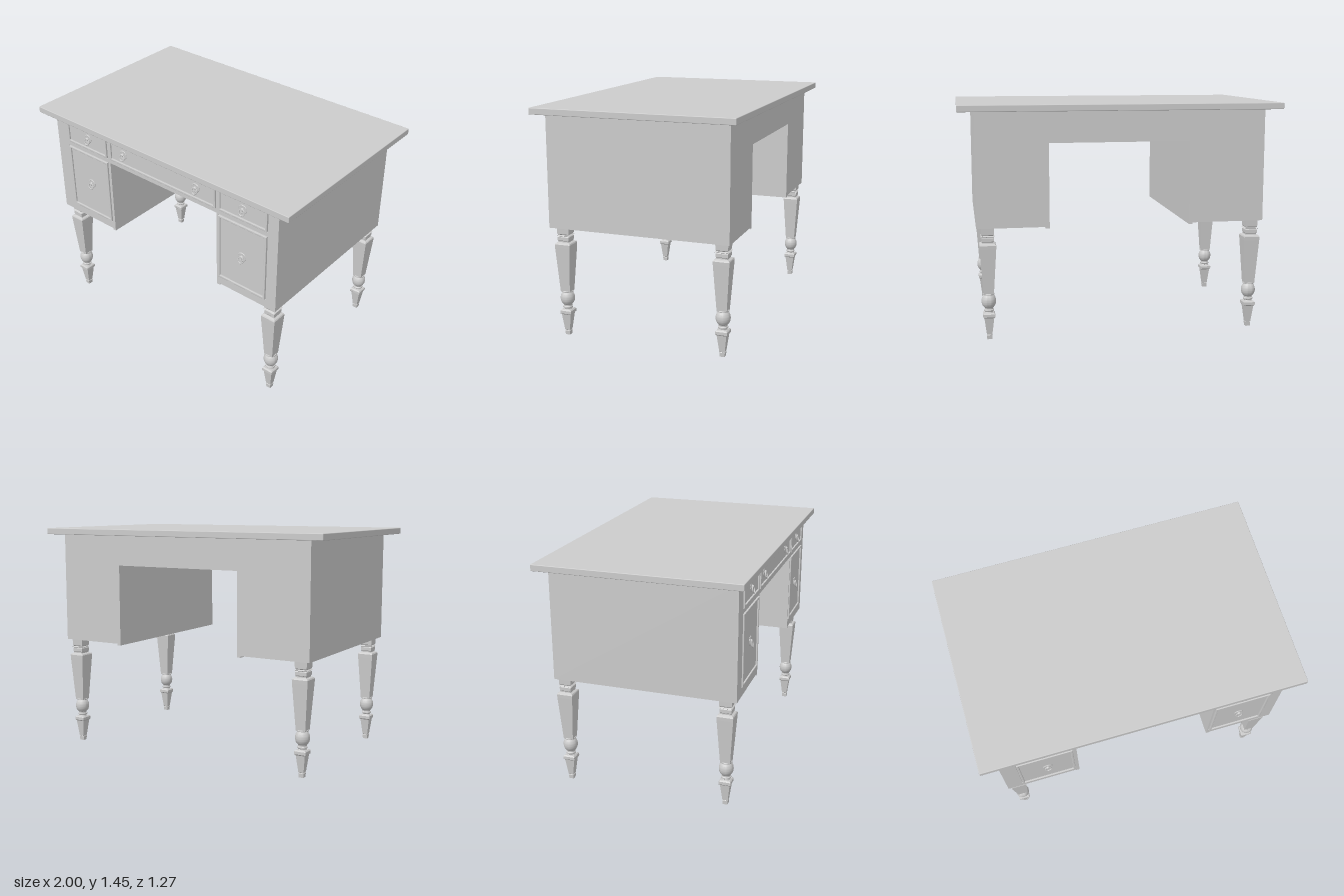
import * as THREE from 'three';
import { RoundedBoxGeometry } from 'three/addons/geometries/RoundedBoxGeometry.js';
import { toCreasedNormals } from 'three/addons/utils/BufferGeometryUtils.js';

const grey = new THREE.MeshStandardMaterial({ color: 0xcccccc });
const flat = new THREE.MeshStandardMaterial({ color: 0xcccccc, flatShading: true });

function add(parent, name, geometry, x = 0, y = 0, z = 0, material = grey) {
  const mesh = new THREE.Mesh(geometry, material);
  mesh.name = name;
  mesh.position.set(x, y, z);
  parent.add(mesh);
  return mesh;
}

function rectPath(x0, y0, x1, y1, Type = THREE.Shape) {
  const p = new Type();
  p.moveTo(x0, y0);
  p.lineTo(x1, y0);
  p.lineTo(x1, y1);
  p.lineTo(x0, y1);
  p.closePath();
  return p;
}

const points = (list) => list.map(([r, y]) => new THREE.Vector2(r, y));

// Square-section turning: profile lists half-widths and heights
function squareTurning(profile) {
  const pts = points(profile.map(([h, y]) => [h * Math.SQRT2, y]));
  return new THREE.LatheGeometry(pts, 4).rotateY(Math.PI / 4);
}

function roundTurning(profile) {
  return toCreasedNormals(new THREE.LatheGeometry(points(profile), 32), 0.6);
}

// Desk outline with the kneehole, seen from the front
function deskOutline() {
  const s = new THREE.Shape();
  [[-0.9, 0.705], [-0.42, 0.705], [-0.42, 1.217], [0.455, 1.217],
    [0.455, 0.705], [0.9, 0.705], [0.9, 1.41], [-0.9, 1.41]]
    .forEach(([x, y], i) => (i ? s.lineTo(x, y) : s.moveTo(x, y)));
  s.closePath();
  return s;
}

function makeLeg() {
  const leg = new THREE.Group();
  leg.name = 'leg';
  add(leg, 'legUpper', squareTurning([
    [0.031, 0.288], [0.05, 0.575], [0.051, 0.597], [0.047, 0.604], [0.034, 0.61],
    [0.034, 0.617], [0.037, 0.621], [0.037, 0.642], [0.033, 0.646], [0.042, 0.651],
    [0.033, 0.656], [0.038, 0.662], [0.04, 0.71],
  ]), 0, 0, 0, flat);
  // Ball with a collar above and below
  const ball = [];
  for (let i = 0; i <= 16; i++) {
    const a = -0.95 + (1.9 * i) / 16;
    ball.push([0.045 * Math.cos(a), 0.243 + 0.052 * Math.sin(a)]);
  }
  add(leg, 'legBall', roundTurning([
    [0, 0.16], [0.028, 0.168], [0.024, 0.176], [0.031, 0.182], [0.031, 0.189], [0.026, 0.193],
    [0.026, 0.199], ...ball, [0.036, 0.284], [0.037, 0.289], [0.035, 0.293], [0, 0.293],
  ]));
  add(leg, 'legFoot', squareTurning([
    [0, 0], [0.015, 0], [0.017, 0.026], [0.014, 0.029], [0.017, 0.032], [0.03, 0.138],
    [0.037, 0.145], [0.037, 0.163], [0.03, 0.17], [0, 0.17],
  ]), 0, 0, 0, flat);
  return leg;
}

// Round backplate, knob and small hanging ring
function makePull(x, y) {
  const pull = new THREE.Group();
  pull.name = 'drawerPull';
  const plate = roundTurning([[0.03, 0], [0.03, 0.003], [0.026, 0.006], [0.02, 0.004],
    [0.011, 0.005], [0.01, 0.012], [0.007, 0.016], [0, 0.017]]);
  add(pull, 'pullPlate', plate.rotateX(Math.PI / 2));
  const ring = add(pull, 'pullRing', new THREE.TorusGeometry(0.02, 0.0035, 8, 28), 0, -0.016, 0.014);
  ring.rotation.x = -0.2;
  add(pull, 'pullDrop', new THREE.SphereGeometry(0.006, 12, 8), 0, -0.037, 0.018);
  pull.position.set(x, y, 0.577);
  return pull;
}

// Drawer front with a raised bead around a recessed panel
function makeDrawer([x0, y0, x1, y1], pulls) {
  const drawer = new THREE.Group();
  drawer.name = 'drawer';
  const w = 0.014, b = 0.003;
  const bead = rectPath(x0 + b, y0 + b, x1 - b, y1 - b);
  bead.holes.push(rectPath(x0 + w - b, y0 + w - b, x1 - w + b, y1 - w + b, THREE.Path));
  add(drawer, 'drawerBead', new THREE.ExtrudeGeometry(bead, {
    depth: 0.013, bevelEnabled: true, bevelThickness: b, bevelSize: b, bevelSegments: 2,
  }), 0, 0, 0.572);
  add(drawer, 'drawerPanel', new THREE.BoxGeometry(x1 - x0 - w, y1 - y0 - w, 0.012),
    (x0 + x1) / 2, (y0 + y1) / 2, 0.572);
  pulls.forEach(([x, y]) => drawer.add(makePull(x, y)));
  return drawer;
}

export function createModel() {
  const desk = new THREE.Group();
  desk.name = 'desk';

  add(desk, 'tabletop', new RoundedBoxGeometry(2, 0.04, 1.27, 2, 0.004), 0, 1.43, 0);
  add(desk, 'carcass', new THREE.ExtrudeGeometry(deskOutline(), { depth: 1.144, bevelEnabled: false }), 0, 0, -0.573);

  // Drawers: rectangle, then pull positions
  const drawers = [
    [[-0.797, 1.247, -0.444, 1.393], [[-0.615, 1.322]]],
    [[-0.416, 1.247, 0.448, 1.393], [[-0.3, 1.322], [0.294, 1.322]]],
    [[0.47, 1.247, 0.823, 1.393], [[0.647, 1.322]]],
    [[-0.797, 0.762, -0.444, 1.211], [[-0.615, 0.987]]],
    [[0.47, 0.762, 0.823, 1.211], [[0.647, 0.987]]],
  ];

  // Face frame with a thin gap around every drawer
  const frame = deskOutline();
  const gap = 0.004;
  for (const [[x0, y0, x1, y1], pulls] of drawers) {
    frame.holes.push(rectPath(x0 - gap, y0 - gap, x1 + gap, y1 + gap, THREE.Path));
    desk.add(makeDrawer([x0, y0, x1, y1], pulls));
  }
  add(desk, 'faceFrame', new THREE.ExtrudeGeometry(frame, { depth: 0.009, bevelEnabled: false }), 0, 0, 0.571);

  // Inner side panels reach slightly below the pedestals
  for (const x of [-0.432, 0.467]) {
    add(desk, 'innerPanelLip', new THREE.BoxGeometry(0.024, 0.02, 1.153), x, 0.705, 0.0035);
  }

  for (const x of [-0.836, 0.832]) {
    for (const z of [-0.517, 0.506]) {
      const leg = makeLeg();
      leg.position.set(x, 0, z);
      desk.add(leg);
    }
  }
  return desk;
}
